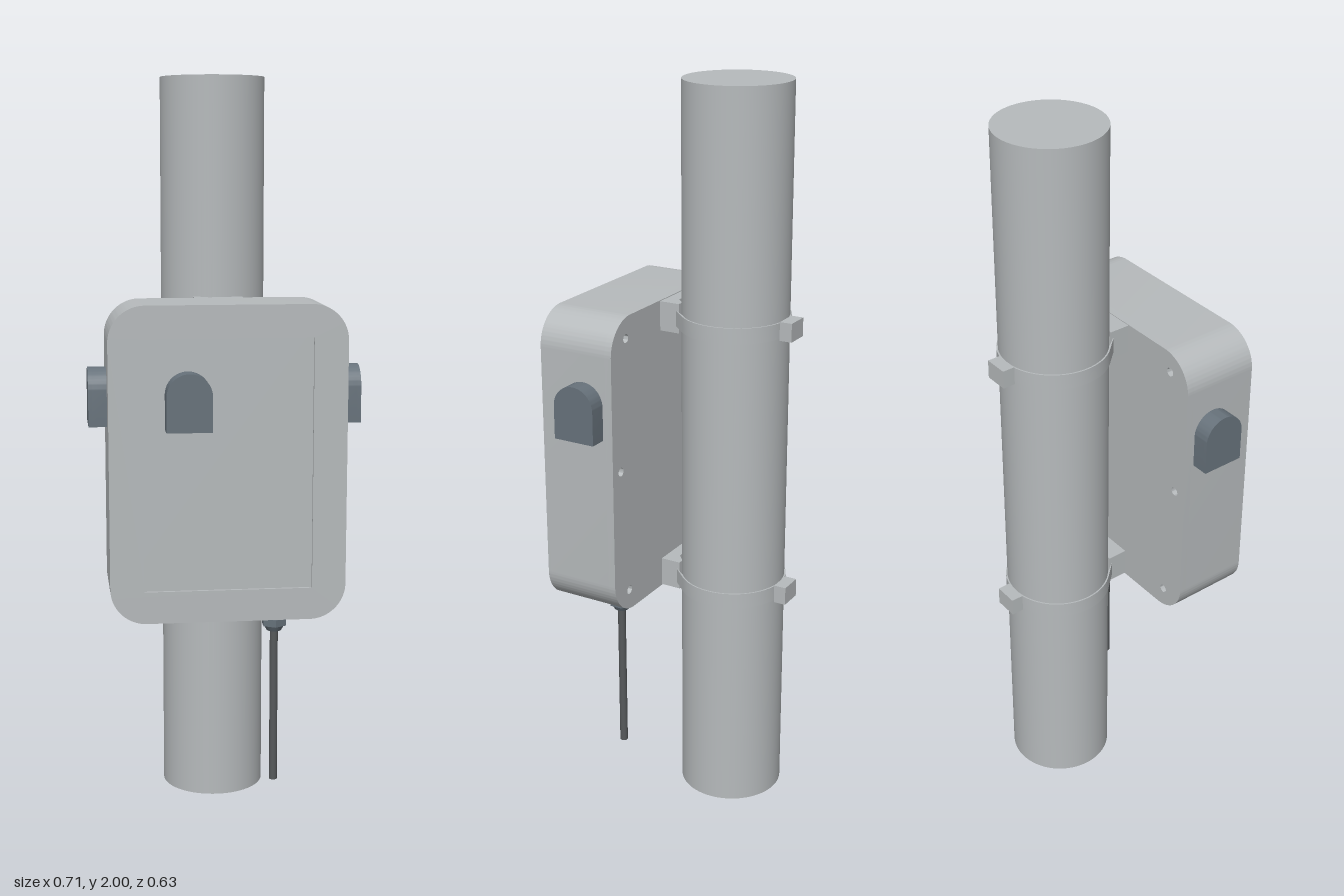
import * as THREE from 'three';
import { toCreasedNormals } from 'three/addons/utils/BufferGeometryUtils.js';

const lightGrey = new THREE.MeshStandardMaterial({ color: 0xb6babc });
lightGrey.name = 'light grey';
const slate = new THREE.MeshStandardMaterial({ color: 0x67727b });
slate.name = 'slate';
const darkGrey = new THREE.MeshStandardMaterial({ color: 0x56595b });
darkGrey.name = 'dark grey';

const POLE_Z = -0.139, POLE_R = 0.142;

function add(parent, name, geometry, material, x = 0, y = 0, z = 0) {
  const mesh = new THREE.Mesh(geometry, material);
  mesh.name = name;
  mesh.position.set(x, y, z);
  parent.add(mesh);
  return mesh;
}

function extrude(shape, depth) {
  const g = new THREE.ExtrudeGeometry(shape, { depth, bevelEnabled: false, curveSegments: 20 });
  return toCreasedNormals(g, 0.5);
}

// Plan outline (x, z) extruded vertically and centred on y = 0
function slab(points, height) {
  const shape = new THREE.Shape(points.map(([x, z]) => new THREE.Vector2(x, z)));
  return extrude(shape, height).rotateX(Math.PI / 2).translate(0, height / 2, 0);
}

// Rounded rectangle, centred
function casing(w, h, r) {
  const s = new THREE.Shape(), a = w / 2, b = h / 2;
  s.moveTo(-a + r, -b);
  s.lineTo(a - r, -b);
  s.absarc(a - r, -b + r, r, -Math.PI / 2, 0);
  s.absarc(a - r, b - r, r, 0, Math.PI / 2);
  s.absarc(-a + r, b - r, r, Math.PI / 2, Math.PI);
  s.absarc(-a + r, -b + r, r, Math.PI, Math.PI * 1.5);
  return s;
}

// Round-topped hood, open underneath, extruding toward +z from its base
function makeHood(depth) {
  const hood = new THREE.Group();
  const r = 0.059, t = 0.01, cap = 0.01, bottom = 1.1, spring = 1.25 - r;
  const wall = new THREE.Shape();
  wall.moveTo(r, bottom);
  wall.lineTo(r, spring);
  wall.absarc(0, spring, r, 0, Math.PI);
  wall.lineTo(-r, bottom);
  wall.lineTo(-r + t, bottom);
  wall.lineTo(-r + t, spring);
  wall.absarc(0, spring, r - t, Math.PI, 0, true);
  wall.lineTo(r - t, bottom);
  add(hood, 'hoodWall', extrude(wall, depth - cap), slate);
  const face = new THREE.Shape();
  face.moveTo(-r, bottom);
  face.lineTo(r, bottom);
  face.lineTo(r, spring);
  face.absarc(0, spring, r, 0, Math.PI);
  add(hood, 'hoodFace', extrude(face, cap), slate, 0, 0, depth - cap);
  return hood;
}

export function createModel() {
  const model = new THREE.Group();
  model.name = 'poleMountedSensor';

  // Pole
  add(model, 'pole', new THREE.CylinderGeometry(POLE_R, POLE_R, 2, 64), lightGrey, 0, 1, POLE_Z);

  // Enclosure: back with screw holes, solid core, front rim around a shallow recess
  const box = new THREE.Group();
  box.name = 'enclosure';
  box.position.y = 1.004;
  model.add(box);
  const outline = () => casing(0.618, 0.83, 0.095);
  const back = outline();
  for (const side of [-1, 1]) {
    for (const [x, y] of [[0.237, 0.357], [0.27, 0], [0.237, -0.357]]) {
      back.holes.push(new THREE.Path().absarc(side * x, y, 0.012, 0, Math.PI * 2, true));
    }
  }
  add(box, 'enclosureBack', extrude(back, 0.02), lightGrey, 0, 0, 0.052);
  add(box, 'enclosureCore', extrude(outline(), 0.187), lightGrey, 0, 0, 0.072);
  const rim = outline();
  rim.holes.push(new THREE.Path([[-0.22, -0.33], [-0.22, 0.33], [0.22, 0.33], [0.22, -0.33]]
    .map(([x, y]) => new THREE.Vector2(x, y))));
  add(box, 'enclosureRim', extrude(rim, 0.008), lightGrey, 0, 0, 0.259);

  // Hoods on the front and both sides
  const frontHood = makeHood(0.056);
  frontHood.name = 'frontHood';
  frontHood.position.set(-0.105, 0, 0.259);
  model.add(frontHood);
  for (const side of [-1, 1]) {
    const hood = makeHood(0.048);
    hood.name = side > 0 ? 'leftHood' : 'rightHood';
    hood.position.set(side * 0.309, 0, 0.139);
    hood.rotation.y = side * Math.PI / 2;
    model.add(hood);
  }

  // Strap outline: round the back of the pole, then tangent to the saddle block
  const arc = (r) => {
    const px = 0.068, pz = 0.002 - POLE_Z;
    const start = Math.atan2(px, pz) + Math.acos(r / Math.hypot(px, pz));
    const pts = [[px, 0.002]];
    for (let i = 0; i <= 60; i++) {
      const a = start + (2 * Math.PI - 2 * start) * i / 60;
      pts.push([r * Math.sin(a), POLE_Z + r * Math.cos(a)]);
    }
    pts.push([-px, 0.002]);
    return pts;
  };
  const strap = [...arc(0.146), ...arc(0.1421).reverse().map(([x, z]) => [x * 0.97, z])];
  const saddle = [[-0.066, 0.053], [-0.066, -0.005], [-0.049, -0.005], [-0.026, 0.017],
    [0.026, 0.017], [0.049, -0.005], [0.066, -0.005], [0.066, 0.053]];

  // Upper and lower pole clamps
  for (const [name, y, blockY] of [['upperClamp', 1.377, 1.377], ['lowerClamp', 0.63, 0.631]]) {
    const clamp = new THREE.Group();
    clamp.name = name;
    model.add(clamp);
    add(clamp, 'saddleBlock', slab(saddle, 0.08), lightGrey, 0, blockY, 0);
    add(clamp, 'strap', slab(strap, 0.042), lightGrey, 0, y, 0);
    add(clamp, 'buckle', new THREE.BoxGeometry(0.066, 0.05, 0.034), lightGrey, 0, y, -0.301);
  }

  // Cable gland and hanging cable
  const gland = new THREE.Group();
  gland.name = 'cableGland';
  gland.position.set(0.138, 0, 0.142);
  model.add(gland);
  const hex = (r, h) => new THREE.CylinderGeometry(r, r, h, 6).toNonIndexed();
  add(gland, 'glandFlange', toCreasedNormals(hex(0.04, 0.02), 0.5), slate, 0, 0.58, 0);
  add(gland, 'glandNeck', new THREE.CylinderGeometry(0.025, 0.025, 0.02, 24), slate, 0, 0.562, 0);
  add(gland, 'glandNut', toCreasedNormals(hex(0.035, 0.02), 0.5), slate, 0, 0.55, 0);
  add(gland, 'glandTip', new THREE.CylinderGeometry(0.029, 0.02, 0.016, 24), slate, 0, 0.533, 0);
  add(gland, 'cable', new THREE.CylinderGeometry(0.011, 0.011, 0.44, 20), darkGrey, 0, 0.318, 0);

  return model;
}
